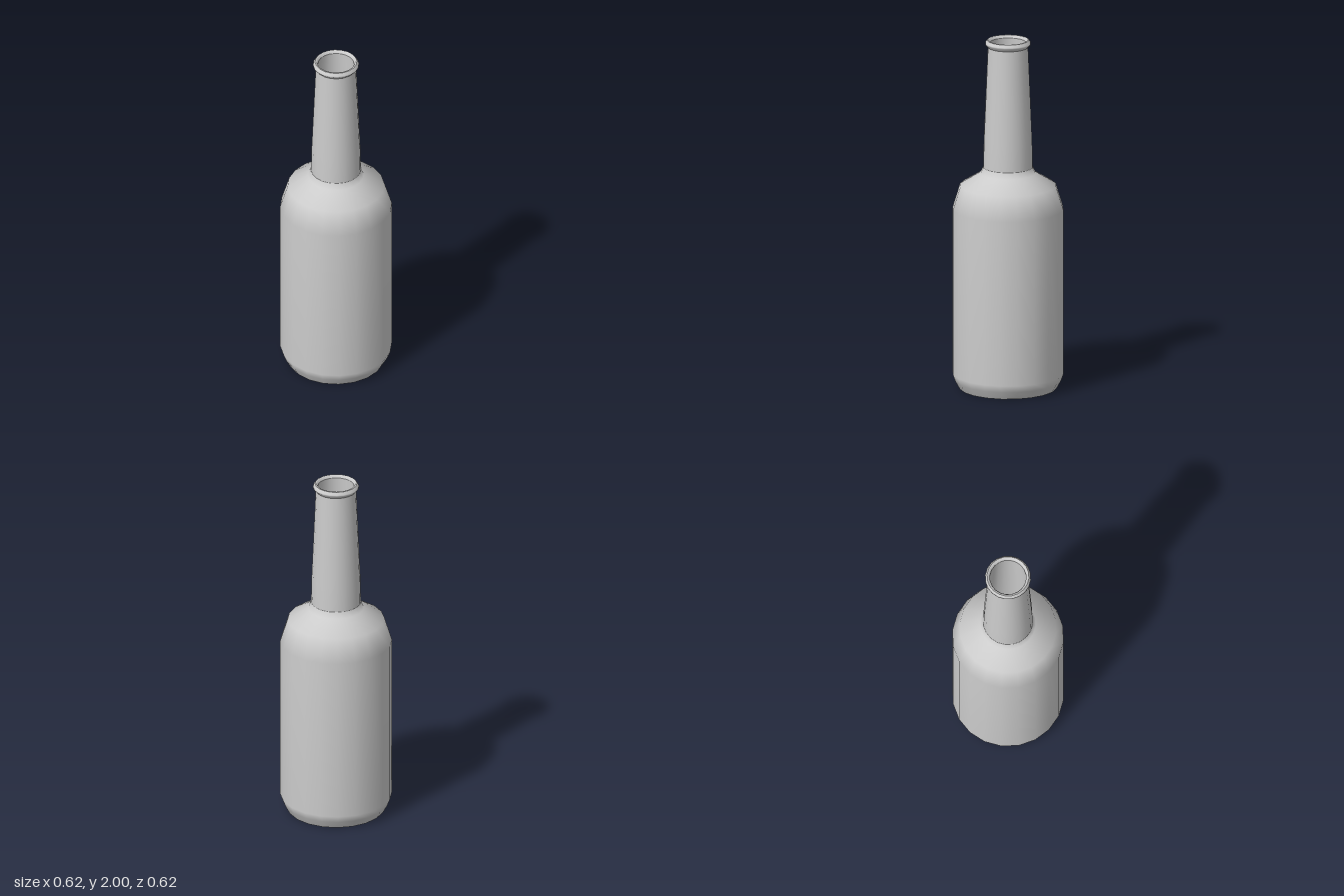
import * as THREE from 'three';

const SIDES = 20;
const material = new THREE.MeshStandardMaterial({ color: 0xcccccc });

// Revolve a [radius, height] profile around the y axis
function revolve(name, profile) {
  const points = profile.map(([r, y]) => new THREE.Vector2(r, y));
  const mesh = new THREE.Mesh(new THREE.LatheGeometry(points, SIDES), material);
  mesh.name = name;
  return mesh;
}

export function createModel() {
  const bottle = new THREE.Group();
  bottle.name = 'bottle';

  // Hollow underside, pushed up in the middle
  bottle.add(revolve('base', [[0, 0.06], [0.12, 0.05], [0.22, 0.025], [0.24, 0], [0.272, 0]]));

  // Rounded foot, straight sides and sloping shoulder
  bottle.add(revolve('body', [
    [0.272, 0], [0.297, 0.045], [0.312, 0.085], [0.312, 1.03],
    [0.27, 1.165], [0.155, 1.235], [0.139, 1.27],
  ]));

  // Tapering neck
  bottle.add(revolve('neck', [[0.139, 1.27], [0.136, 1.42], [0.113, 1.96]]));

  // Flared lip around the mouth
  bottle.add(revolve('lip', [[0.113, 1.96], [0.128, 1.977], [0.128, 1.985], [0.117, 2]]));
  bottle.add(revolve('mouthRim', [[0.117, 2], [0.108, 2], [0.101, 1.985]]));

  // Inner wall and floor, seen through the mouth
  bottle.add(revolve('innerWall', [
    [0.101, 1.985], [0.102, 1.96], [0.124, 1.42], [0.126, 1.27],
    [0.145, 1.22], [0.258, 1.15], [0.298, 1.025], [0.298, 0.09], [0.264, 0.03],
  ]));
  bottle.add(revolve('innerFloor', [[0.264, 0.03], [0.22, 0.045], [0.12, 0.07], [0, 0.08]]));

  return bottle;
}
